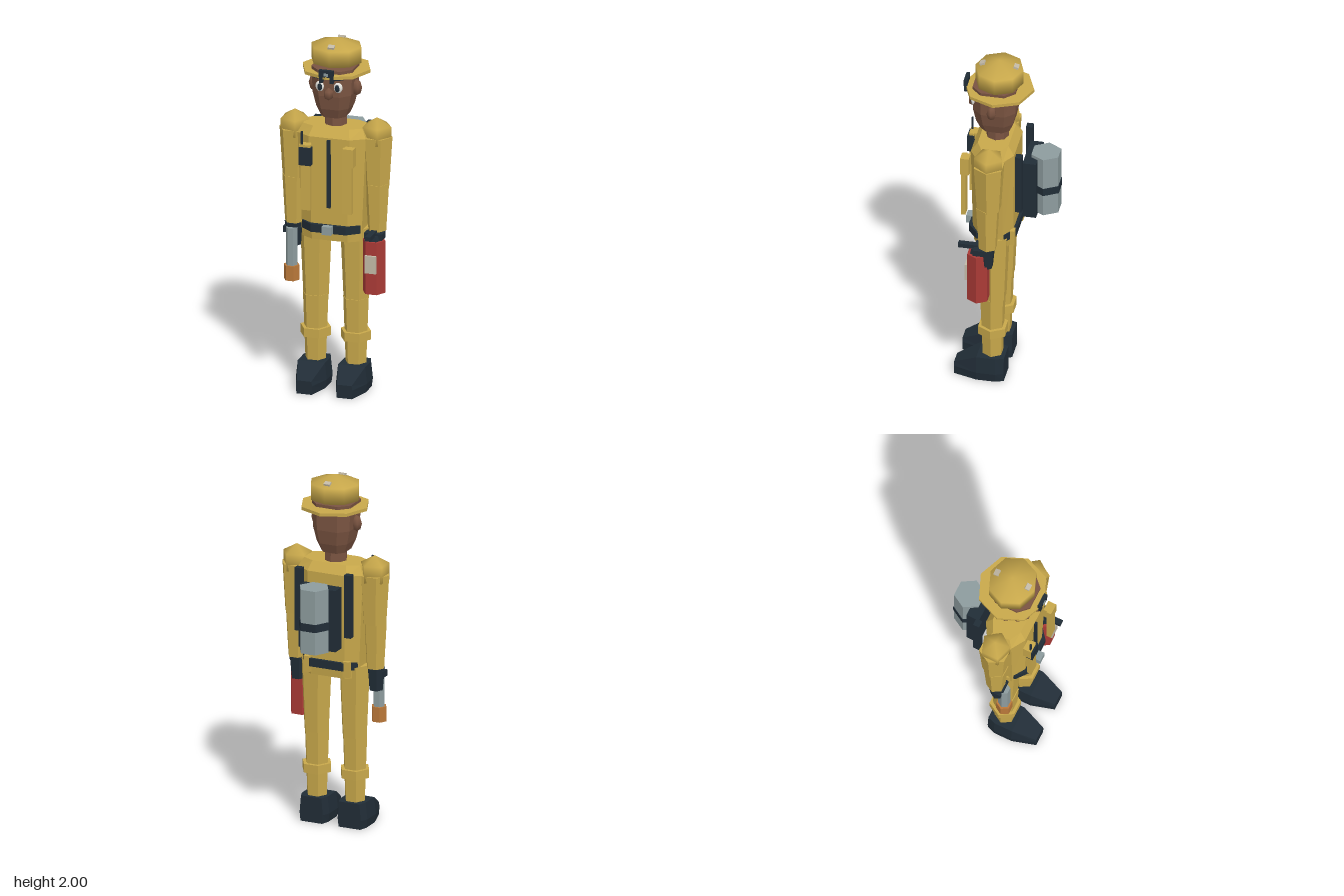
import * as THREE from 'three';

const paint = (name, color) => {
  const m = new THREE.MeshStandardMaterial({ color });
  m.name = name;
  return m;
};

// faceted normals for any geometry
function facet(g) {
  const f = g.index ? g.toNonIndexed() : g;
  f.computeVertexNormals();
  return f;
}

// skin over closed rings of points, capped at both ends
function loft(rings) {
  const n = rings[0].length, pos = rings.flat(2), idx = [];
  for (let i = 0; i < rings.length - 1; i++)
    for (let j = 0; j < n; j++) {
      const a = i * n + j, b = i * n + (j + 1) % n;
      idx.push(a, b, b + n, a, b + n, a + n);
    }
  const last = (rings.length - 1) * n;
  for (let j = 1; j < n - 1; j++) idx.push(0, j + 1, j, last, last + j, last + j + 1);
  const g = new THREE.BufferGeometry();
  g.setAttribute('position', new THREE.Float32BufferAttribute(pos, 3));
  g.setIndex(idx);
  return facet(g);
}

// chamfered rectangle at height y
function chamfer(y, hx, hz, cz, k = 0.6) {
  return [[k, 1], [1, k], [1, -k], [k, -1], [-k, -1], [-1, -k], [-1, k], [-k, 1]]
    .map(([x, z]) => [x * hx, y, cz + z * hz]);
}

export function createModel() {
  const cloth = paint('tan cloth', 0xc8a84b), dark = paint('dark rubber', 0x212d37),
    skin = paint('brown skin', 0x7a5441), red = paint('red paint', 0xa93a36),
    steel = paint('grey steel', 0x8d9c9e), label = paint('pale label', 0xc2b9a6),
    brass = paint('brass', 0xba783a), white = paint('eye white', 0xf0eee8);
  const model = new THREE.Group();

  const add = (name, geo, mat, x = 0, y = 0, z = 0) => {
    const m = new THREE.Mesh(geo, mat);
    m.name = name;
    m.position.set(x, y, z);
    model.add(m);
    return m;
  };
  // box given by its limits
  const box = (name, mat, x0, x1, y0, y1, z0, z1) =>
    add(name, new THREE.BoxGeometry(x1 - x0, y1 - y0, z1 - z0), mat, (x0 + x1) / 2, (y0 + y1) / 2, (z0 + z1) / 2);
  // upright six-sided prism with corners on the x axis
  const hex = (name, mat, rTop, rBottom, y0, y1, x, z) =>
    add(name, facet(new THREE.CylinderGeometry(rTop, rBottom, y1 - y0, 6).rotateY(Math.PI / 6)), mat, x, (y0 + y1) / 2, z);
  const ball = (name, mat, rx, ry, rz, x, y, z, seg = 8, rows = 3) =>
    add(name, new THREE.SphereGeometry(1, seg, rows).rotateY(Math.PI).scale(rx, ry, rz), mat, x, y, z);

  // jacket, zip and belt
  add('jacket', loft([
    chamfer(0.865, 0.17, 0.105, 0.07), chamfer(0.95, 0.172, 0.112, 0.07),
    chamfer(1.46, 0.195, 0.12, 0.07), chamfer(1.51, 0.17, 0.085, 0.07)]), cloth);
  box('zip', dark, -0.01, 0.01, 1.06, 1.45, 0.18, 0.2);
  add('belt', loft([chamfer(0.915, 0.165, 0.132, 0.073), chamfer(0.96, 0.165, 0.132, 0.073)]), dark);
  box('buckle', steel, -0.027, 0.027, 0.915, 0.962, 0.2, 0.235);

  for (const s of [-1, 1]) {
    // jacket front strips, pockets and belt loops
    const cx = s * 0.118;
    box('frontStrip', cloth, cx - 0.027, cx + 0.027, 1.05, 1.425, 0.215, 0.24);
    box('pocketFlap', cloth, s * 0.126 - 0.029, s * 0.126 + 0.029, 1.32, 1.425, 0.195, 0.243);
    box('backBeltLoop', cloth, cx - 0.02, cx + 0.02, 0.88, 0.97, -0.055, -0.03);

    // arm
    const ax = s * 0.235;
    ball('shoulder', cloth, 0.095, 0.095, 0.095, ax, 1.47, 0.065, 5);
    hex('upperArm', cloth, 0.088, 0.07, 1.18, 1.46, ax, 0.065);
    hex('forearm', cloth, 0.068, 0.052, 0.92, 1.19, ax - s * -0.002, 0.071);
    hex('glove', dark, 0.053, 0.04, 0.79, 0.92, ax, 0.082);

    // leg
    const lx = s * 0.115;
    hex('thigh', cloth, 0.092, 0.073, 0.515, 0.93, lx, 0.063);
    hex('shin', cloth, 0.073, 0.058, 0.12, 0.52, lx, 0.068);
    hex('cuff', cloth, 0.086, 0.086, 0.28, 0.33, lx, 0.067);
    const bootRing = (z, w, h) => [[w * 0.92, 0], [w, 0.05], [w * 0.88, h], [-w * 0.88, h], [-w, 0.05], [-w * 0.92, 0]]
      .map(([x, y]) => [x, y, z]);
    add('boot', loft([bootRing(-0.005, 0.07, 0.145), bootRing(0.04, 0.088, 0.145),
      bootRing(0.145, 0.088, 0.145), bootRing(0.275, 0.047, 0.075)]), dark, lx);
  }

  // chest radio
  box('radio', dark, -0.155, -0.085, 1.31, 1.412, 0.215, 0.252);
  box('antenna', dark, -0.146, -0.136, 1.41, 1.5, 0.228, 0.238);

  // neck and head
  add('neck', facet(new THREE.CylinderGeometry(0.062, 0.064, 0.12, 8)), skin, 0, 1.55, 0.065);
  add('head', loft([
    chamfer(1.565, 0.07, 0.08, 0.072, 0.55), chamfer(1.62, 0.092, 0.103, 0.072, 0.55),
    chamfer(1.7, 0.11, 0.118, 0.072, 0.55), chamfer(1.85, 0.117, 0.12, 0.072, 0.55)]), skin);
  ball('nose', skin, 0.03, 0.036, 0.036, 0, 1.717, 0.195, 6);
  for (const s of [-1, 1]) {
    ball('ear', skin, 0.032, 0.046, 0.028, s * 0.121, 1.73, 0.075, 6, 4);
    ball('eye', white, 0.026, 0.031, 0.014, s * 0.052, 1.757, 0.188, 10, 6);
    ball('pupil', dark, 0.014, 0.021, 0.007, s * 0.05, 1.755, 0.199, 8, 6);
    const brow = box('eyebrow', dark, -0.03, 0.03, -0.006, 0.006, -0.006, 0.006);
    brow.position.set(s * 0.055, 1.806, 0.192);
    brow.rotation.z = s * 0.2;
  }

  // hat
  add('hatBrim', facet(new THREE.CylinderGeometry(0.193, 0.193, 0.018, 8)), cloth, 0, 1.824, 0.055);
  ball('hatCrown', cloth, 0.164, 0.09, 0.153, 0, 1.91, 0.055);
  for (const s of [-1, 1]) {
    const vent = box('hatVent', label, -0.018, 0.018, -0.006, 0.006, -0.014, 0.014);
    vent.position.set(0, 1.972, 0.055 + s * 0.094);
    vent.rotation.x = s * 0.32;
    box('badgeFoot', dark, s * 0.03 - 0.01, s * 0.03 + 0.01, 1.795, 1.84, 0.228, 0.245);
  }
  box('hatBadge', dark, -0.04, 0.04, 1.828, 1.868, 0.226, 0.246);
  box('badgePlate', steel, -0.012, 0.012, 1.836, 1.852, 0.243, 0.25);

  // air tank and its harness
  for (const s of [-1, 1]) box('harnessBar', dark, s * 0.15 - 0.02, s * 0.15 + 0.02, 1.125, 1.485, -0.101, -0.065);
  box('backPlate', dark, -0.111, 0.111, 1.06, 1.412, -0.17, -0.095);
  hex('airTank', steel, 0.086, 0.086, 1.065, 1.43, 0, -0.205);
  hex('tankBand', dark, 0.09, 0.09, 1.195, 1.24, 0, -0.205);

  // hose nozzle in the right hand
  hex('nozzlePipe', steel, 0.033, 0.033, 0.67, 0.9, -0.235, 0.12);
  hex('nozzleTip', brass, 0.044, 0.044, 0.6, 0.685, -0.235, 0.12);
  box('nozzleHandle', dark, -0.285, -0.185, 0.865, 0.9, 0.07, 0.12);

  // extinguisher in the left hand
  hex('extinguisher', red, 0.064, 0.064, 0.58, 0.88, 0.237, 0.124);
  box('extinguisherLabel', label, 0.204, 0.268, 0.705, 0.805, 0.177, 0.194);
  hex('extinguisherCollar', dark, 0.04, 0.05, 0.875, 0.91, 0.237, 0.124);
  box('extinguisherGrip', dark, 0.185, 0.288, 0.885, 0.92, 0.08, 0.145);
  box('extinguisherLever', dark, 0.219, 0.251, 0.905, 0.93, 0.08, 0.235);

  return model;
}
